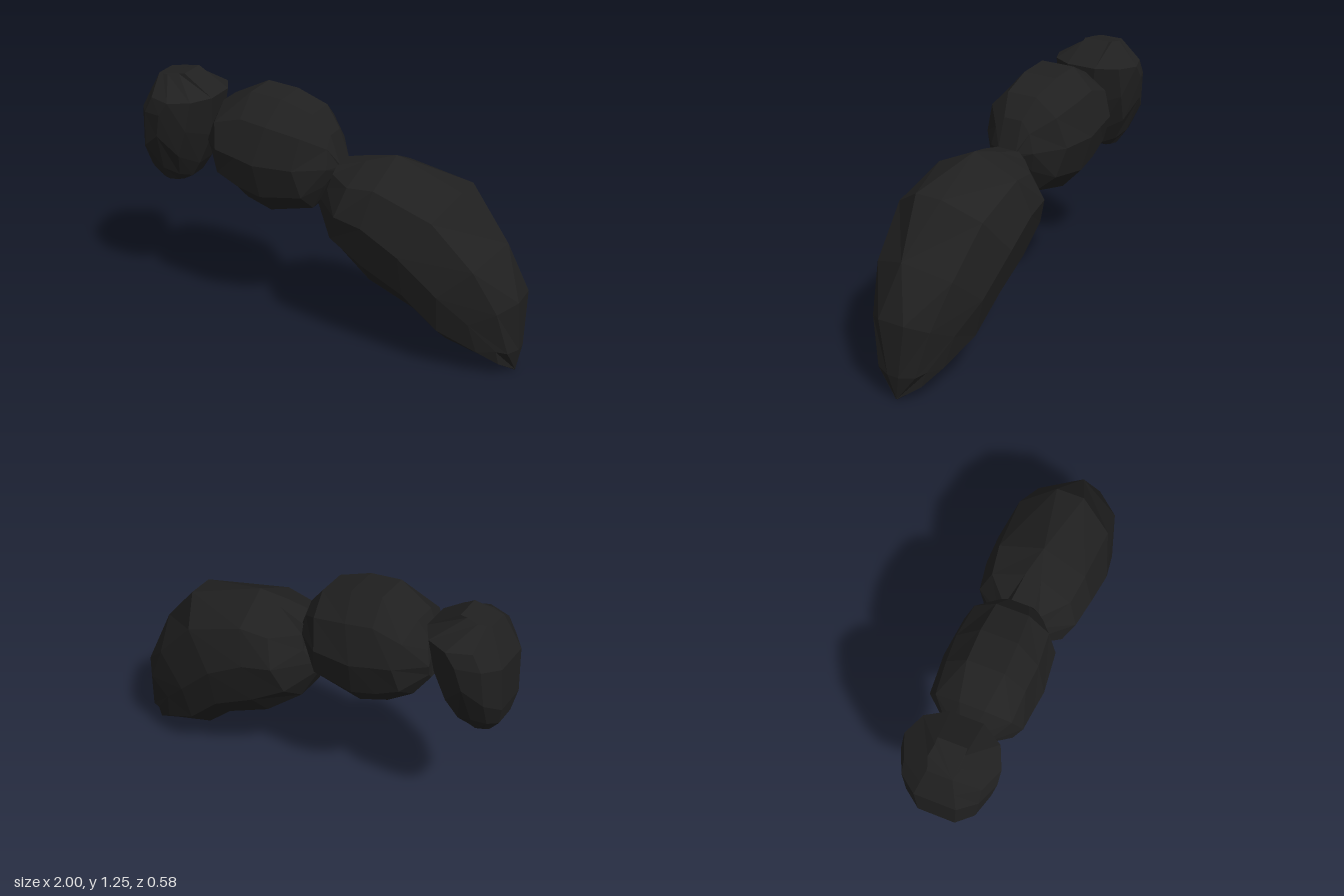
import * as THREE from 'three';

// Full ring from three stations [x, y, halfWidth]: ridge, flank, keel
function makeRing([ridge, flank, keel]) {
  const shoulder = (edge) => [
    edge[0] + (flank[0] - edge[0]) * 0.37,
    edge[1] + (flank[1] - edge[1]) * 0.37,
    Math.max(flank[2] * 0.8, edge[2]),
  ];
  const half = [ridge, shoulder(ridge), flank, shoulder(keel), keel];
  const mirrored = half.map(([x, y, z]) => [x, y, -z]).reverse();
  return [...half, ...mirrored].map((p) => new THREE.Vector3(...p));
}

// Faceted closed skin across a list of sections
function loft(sections) {
  const rings = sections.map(makeRing);
  const n = rings[0].length;
  const positions = [];
  const tri = (a, b, c) => {
    const area = b.clone().sub(a).cross(c.clone().sub(a)).length();
    if (area > 1e-8) for (const p of [a, b, c]) positions.push(p.x, p.y, p.z);
  };
  for (let i = 0; i < rings.length - 1; i++) {
    for (let j = 0; j < n; j++) {
      const k = (j + 1) % n;
      const a = rings[i][j], b = rings[i][k], c = rings[i + 1][j], d = rings[i + 1][k];
      // Mirror the diagonal so both flanks match
      if (j < n / 2) { tri(a, b, c); tri(b, d, c); }
      else { tri(a, b, d); tri(a, d, c); }
    }
  }
  const first = rings[0], last = rings[rings.length - 1];
  for (let j = 1; j < n - 1; j++) {
    tri(first[0], first[j + 1], first[j]);
    tri(last[0], last[j], last[j + 1]);
  }
  const geometry = new THREE.BufferGeometry();
  geometry.setAttribute('position', new THREE.Float32BufferAttribute(positions, 3));
  geometry.computeVertexNormals();
  return geometry;
}

// Head: sections rise from the jaw to the crown, ridge is the face side
const HEAD = [
  [[-0.93, 0.675, 0.04], [-0.87, 0.675, 0.07], [-0.81, 0.675, 0.04]],
  [[-0.98, 0.74, 0.06], [-0.87, 0.76, 0.13], [-0.75, 0.71, 0.05]],
  [[-1.0, 0.84, 0.09], [-0.85, 0.96, 0.21], [-0.7, 0.79, 0.06]],
  [[-0.99, 1.06, 0.1], [-0.82, 1.08, 0.23], [-0.63, 0.95, 0.05]],
  [[-0.95, 1.15, 0.08], [-0.77, 1.15, 0.23], [-0.605, 1.155, 0.08]],
  [[-0.91, 1.235, 0.06], [-0.85, 1.24, 0.08], [-0.76, 1.255, 0.07]],
];

// Thorax: sections run from the neck to the waist
const THORAX = [
  [[-0.6, 1.06, 0.04], [-0.63, 0.94, 0.09], [-0.62, 0.85, 0.04]],
  [[-0.55, 1.15, 0.06], [-0.51, 0.96, 0.23], [-0.54, 0.74, 0.06]],
  [[-0.38, 1.23, 0.09], [-0.4, 0.94, 0.24], [-0.42, 0.67, 0.08]],
  [[-0.22, 1.215, 0.09], [-0.3, 0.92, 0.25], [-0.28, 0.635, 0.1]],
  [[-0.06, 1.16, 0.08], [-0.1, 0.92, 0.23], [-0.06, 0.68, 0.08]],
  [[0.02, 1.06, 0.05], [0.03, 0.91, 0.12], [-0.01, 0.75, 0.05]],
  [[0.07, 0.92, 0.05], [0.06, 0.89, 0.06], [0.04, 0.85, 0.04]],
];

// Abdomen: sections run from the waist to the drooping tip
const ABDOMEN = [
  [[0.06, 0.92, 0.06], [0.03, 0.81, 0.11], [-0.04, 0.7, 0.06]],
  [[0.2, 0.96, 0.04], [0.13, 0.74, 0.25], [0.06, 0.52, 0.08]],
  [[0.34, 1.0, 0], [0.28, 0.72, 0.275], [0.25, 0.37, 0.1]],
  [[0.7, 0.9, 0.07], [0.47, 0.62, 0.29], [0.48, 0.27, 0.1]],
  [[0.91, 0.66, 0], [0.66, 0.44, 0.26], [0.64, 0.12, 0.06]],
  [[1.0, 0.4, 0.07], [0.8, 0.3, 0.2], [0.85, 0.05, 0.04]],
  [[1.0, 0.13, 0.03], [0.92, 0.15, 0.13], [0.93, 0.025, 0.02]],
  [[0.98, 0.005, 0], [0.98, 0.003, 0.004], [0.975, 0, 0]],
];

export function createModel() {
  const shell = new THREE.MeshStandardMaterial({ color: 0x202020 });
  shell.name = 'black shell';
  const model = new THREE.Group();
  model.name = 'insectBody';
  for (const [name, sections] of Object.entries({ head: HEAD, thorax: THORAX, abdomen: ABDOMEN })) {
    const mesh = new THREE.Mesh(loft(sections), shell);
    mesh.name = name;
    model.add(mesh);
  }
  return model;
}
